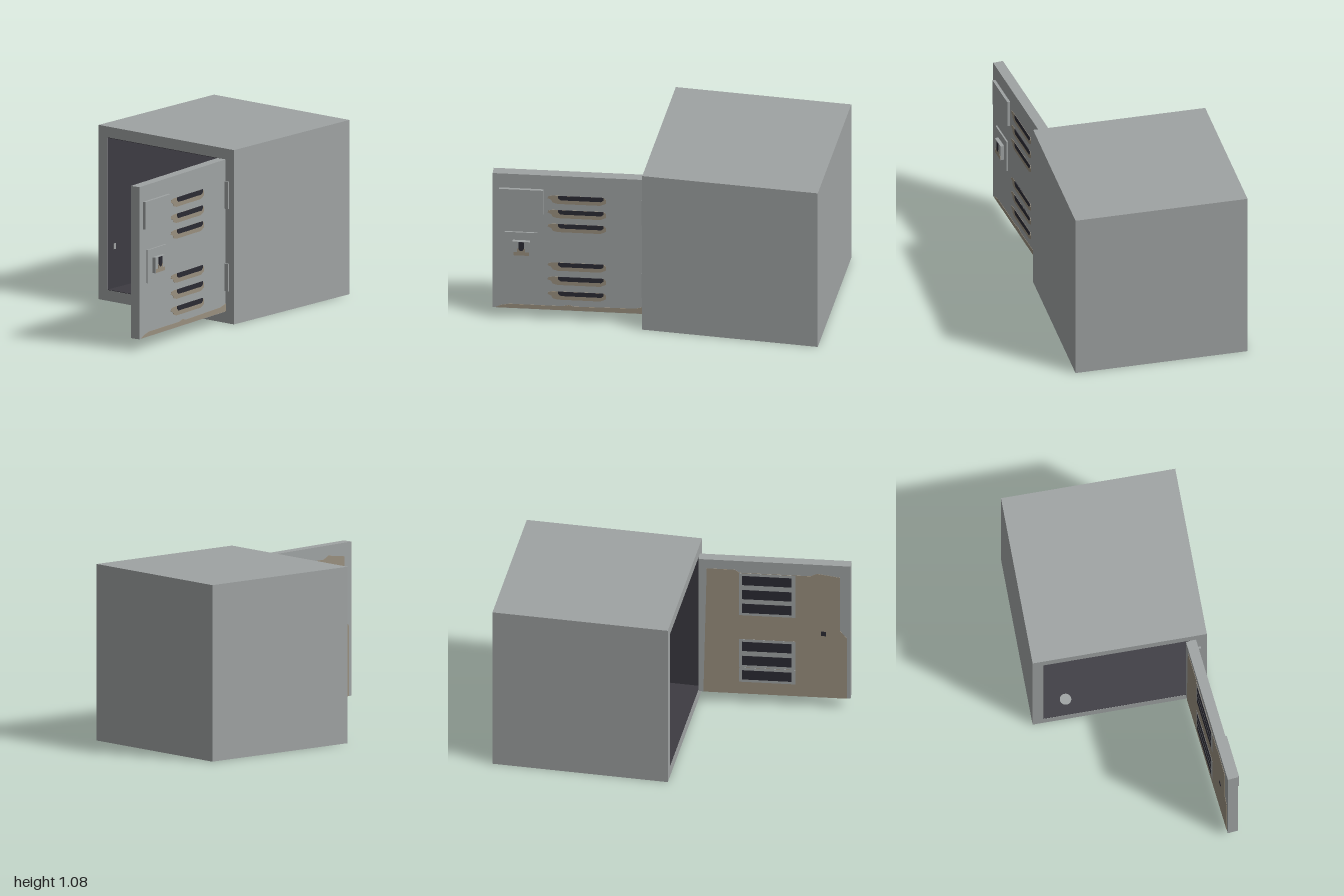
import * as THREE from 'three';

const mat = (name, color, side = THREE.FrontSide) => {
  const m = new THREE.MeshStandardMaterial({ color, side });
  m.name = name;
  return m;
};

export function createModel() {
  const grey = mat('painted steel grey', 0x9fa3a3);
  const dark = mat('dark interior', 0x3d3b42);
  const black = mat('vent black', 0x2b2a33);
  const rust = mat('dusty rust', 0x998f7e);
  const blue = mat('navy blue', 0x343858);

  const model = new THREE.Group();
  model.name = 'locker';

  const add = (parent, name, geo, material) => {
    const m = new THREE.Mesh(geo, material);
    m.name = name;
    parent.add(m);
    return m;
  };
  // Box given by its limits on each axis
  const box = (parent, name, material, x0, x1, y0, y1, z0, z1) => {
    const m = add(parent, name, new THREE.BoxGeometry(x1 - x0, y1 - y0, z1 - z0), material);
    m.position.set((x0 + x1) / 2, (y0 + y1) / 2, (z0 + z1) / 2);
    return m;
  };
  // Thin plate cut from an outline of [x, y] points
  const plate = (parent, name, material, points, z0, z1) => {
    const shape = new THREE.Shape(points.map(([x, y]) => new THREE.Vector2(x, y)));
    const geo = new THREE.ExtrudeGeometry(shape, { depth: z1 - z0, bevelEnabled: false });
    add(parent, name, geo, material).position.z = z0;
  };

  // Cabinet shell: front frame, walls and back
  const X0 = -0.56, X1 = 0.51, H = 1.08, Z0 = -1, Z1 = 0.08, T = 0.067;
  const outline = new THREE.Shape();
  outline.moveTo(X0, 0).lineTo(X1, 0).lineTo(X1, H).lineTo(X0, H).closePath();
  const opening = new THREE.Path();
  opening.moveTo(X0 + T, T).lineTo(X0 + T, H - T).lineTo(X1 - T, H - T).lineTo(X1 - T, T).closePath();
  outline.holes.push(opening);
  const shell = new THREE.ExtrudeGeometry(outline, { depth: Z1 - Z0 - T, bevelEnabled: false });
  add(model, 'cabinetShell', shell, grey).position.z = Z0 + T;
  box(model, 'cabinetBack', grey, X0, X1, 0, H, Z0, Z0 + T);

  // Dark lining of the compartment
  const a = X0 + T, b = X1 - T, c = T, d = H - T, k = 0.003, zb = Z0 + T, zf = Z1 - 0.001;
  box(model, 'liningBack', dark, a, b, c, d, zb, zb + k);
  box(model, 'liningLeftWall', dark, b - k, b, c, d, zb, zf);
  box(model, 'liningRightWall', dark, a, a + k, c, d, zb, zf);
  box(model, 'liningFloor', dark, a, b, c, c + k, zb, zf);
  box(model, 'liningCeiling', dark, a, b, d - k, d, zb, zf);

  // Small fittings inside
  box(model, 'backWallTag', grey, -0.052, 0.003, 0.745, 0.865, zb, zb + 0.02);
  box(model, 'strikePlate', grey, a, a + 0.006, 0.31, 0.345, 0.005, 0.025);
  const disc = add(model, 'floorDisc', new THREE.CylinderGeometry(0.035, 0.035, 0.004, 24), grey);
  disc.position.set(-0.34, c + k + 0.001, -0.02);

  // Cartons with blue labels: [name, x, y, z, width, height, depth, turn, labels as x0, x1, y0, y1]
  const cartons = [
    ['smallCarton', -0.185, 0.07, -0.6, 0.175, 0.1, 0.19, -0.35,
      [[-0.086, -0.018, 0.035, 0.1], [0.02, 0.086, 0.035, 0.1]]],
    ['largeCarton', 0.152, 0.07, -0.65, 0.352, 0.1, 0.25, -0.26,
      [[-0.11, 0.145, 0.065, 0.1], [-0.08, 0.145, 0.035, 0.065]]],
    ['upperCarton', 0.205, 0.17, -0.65, 0.266, 0.1, 0.24, 0.21, [[-0.09, 0.1, 0, 0.035]]],
    ['topCarton', 0.205, 0.27, -0.65, 0.081, 0.04, 0.07, 0.17, []],
  ];
  for (const [name, x, y, z, w, h, dep, turn, labels] of cartons) {
    const g = new THREE.Group();
    g.name = name;
    g.position.set(x, y, z);
    g.rotation.y = turn;
    model.add(g);
    box(g, name + 'Body', grey, -w / 2, w / 2, 0, h, -dep / 2, dep / 2);
    for (const [x0, x1, y0, y1] of labels)
      box(g, name + 'Label', blue, x0, x1, y0, y1, dep / 2, dep / 2 + 0.003);
    // Label wrapping the side of the lower cartons
    if (y < 0.1) box(g, name + 'SideLabel', blue, w / 2, w / 2 + 0.003, 0.035, h, -dep * 0.3, dep * 0.35);
  }

  // Open door: local x runs from hinge to free edge, -z is the outer face
  const door = new THREE.Group();
  door.name = 'door';
  door.position.set(0.443, 0, 0.077);
  door.rotation.y = -1.47;
  model.add(door);
  const DT = 0.063, L = 0.923;
  box(door, 'doorPanel', grey, 0, L, 0.07, 1.013, 0, DT);

  // Rust on the inner face and along the bottom of the outer face
  plate(door, 'innerRust', rust, [[0.03, 0.07], [0.9, 0.07], [0.9, 0.5], [0.86, 0.55], [0.86, 0.93],
    [0.72, 0.95], [0.68, 0.93], [0.25, 0.93], [0.22, 0.95], [0.05, 0.95]], DT, DT + 0.002);
  plate(door, 'outerBottomRust', rust, [[0, 0.072], [0.91, 0.072], [0.87, 0.09], [0.82, 0.1],
    [0.5, 0.1], [0.46, 0.11], [0.43, 0.1], [0.06, 0.106], [0, 0.12]], -0.002, 0);

  // Vent slots in two banks of three
  for (const y of [0.845, 0.745, 0.647, 0.375, 0.275, 0.172]) {
    const s0 = 0.25, s1 = 0.525;
    plate(door, 'ventRust', rust, [[0.27, y - 0.027], [0.53, y - 0.027], [0.56, y - 0.018], [0.568, y],
      [0.59, y + 0.01], [0.585, y + 0.024], [0.56, y + 0.03], [s0, y + 0.03], [0.235, y + 0.015],
      [0.235, y - 0.01]], -0.002, 0);
    plate(door, 'ventSlot', black, [[s0 + 0.015, y], [s1 - 0.015, y], [s1, y + 0.013], [s1, y + 0.03],
      [s0, y + 0.03], [s0, y + 0.013]], -0.004, 0);
    box(door, 'innerVentBorder', grey, 0.245, 0.59, y - 0.018, y + 0.083, DT, DT + 0.003);
    box(door, 'innerVentSlot', black, 0.265, 0.565, y, y + 0.065, DT, DT + 0.005);
  }

  // Name plate holder and lock
  box(door, 'namePlate', grey, 0.615, 0.884, 0.745, 0.915, -0.018, 0);
  box(door, 'lockPlate', grey, 0.65, 0.85, 0.405, 0.61, -0.01, 0);
  box(door, 'lockBlock', grey, 0.695, 0.8, 0.46, 0.557, -0.032, 0);
  box(door, 'lockRust', rust, 0.7, 0.795, 0.462, 0.485, -0.034, -0.032);
  box(door, 'lockRustCentre', rust, 0.723, 0.772, 0.485, 0.51, -0.034, -0.032);
  plate(door, 'keyhole', black, [[0.74, 0.495], [0.755, 0.495], [0.764, 0.51], [0.764, 0.555],
    [0.731, 0.555], [0.731, 0.51]], -0.036, -0.032);
  box(door, 'innerLatch', black, 0.745, 0.775, 0.51, 0.54, DT, DT + 0.005);

  // Hinges
  for (const y of [0.2, 0.71])
    box(model, 'hinge', grey, 0.44, 0.472, y, y + 0.17, 0.07, 0.092);

  return model;
}
